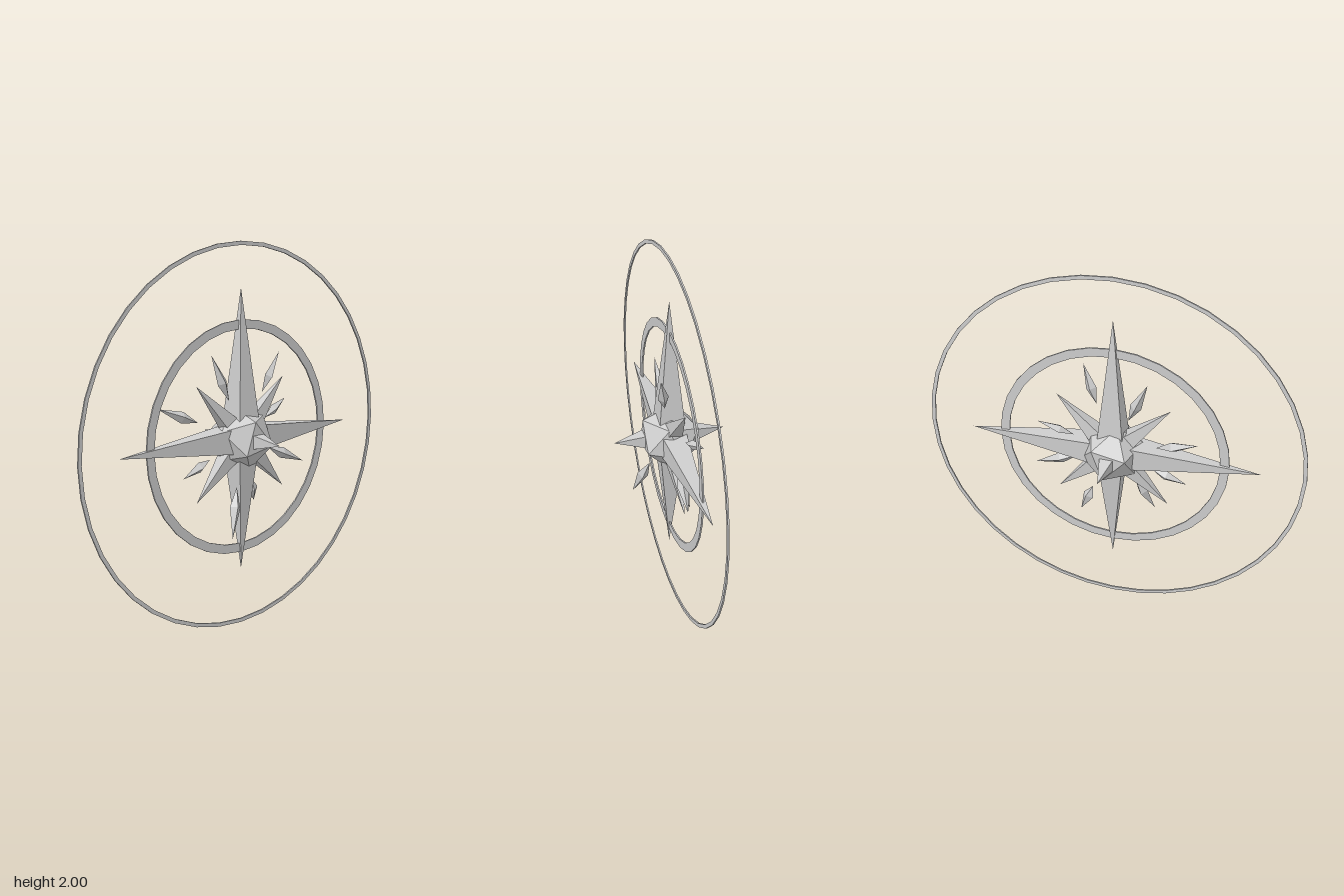
import * as THREE from 'three';

export function createModel() {
  const model = new THREE.Group();
  model.name = 'starOrnament';
  const grey = new THREE.MeshStandardMaterial({ color: 0xcccccc });
  grey.name = 'lightGrey';

  const Y = new THREE.Vector3(0, 1, 0);
  const Z = new THREE.Vector3(0, 0, 1);
  const star = new THREE.Group();
  star.name = 'star';
  star.position.y = 1;
  model.add(star);

  function add(name, geometry) {
    const flat = geometry.index ? geometry.toNonIndexed() : geometry;
    flat.computeVertexNormals();
    const mesh = new THREE.Mesh(flat, grey);
    mesh.name = name;
    star.add(mesh);
    return mesh;
  }

  // Thin flat rings
  function ring(name, outer, inner, sides, depth) {
    const loop = (r) => Array.from({ length: sides }, (_, i) => {
      const a = (i / sides) * Math.PI * 2;
      return new THREE.Vector2(r * Math.cos(a), r * Math.sin(a));
    });
    const shape = new THREE.Shape(loop(outer));
    shape.holes.push(new THREE.Path(loop(inner)));
    const geometry = new THREE.ExtrudeGeometry(shape, { depth, bevelEnabled: false });
    geometry.translate(0, 0, -depth / 2);
    add(name, geometry);
  }
  ring('outerRing', 1, 0.98, 40, 0.008);
  ring('innerRing', 0.61, 0.563, 32, 0.008);

  // Faceted core with one triangle facing the front
  const core = new THREE.IcosahedronGeometry(0.17, 0);
  const faceAxis = new THREE.Vector3(1, 1, 1).normalize();
  core.applyQuaternion(new THREE.Quaternion().setFromUnitVectors(faceAxis, Z));
  core.rotateZ(0.59);
  add('core', core);

  // Square spikes pointing away from the centre
  function spike(name, dir, start, tip, half) {
    const d = new THREE.Vector3(...dir).normalize();
    const geometry = new THREE.ConeGeometry(half * Math.SQRT2, tip - start, 4);
    geometry.rotateY(Math.PI / 4);
    geometry.translate(0, (tip + start) / 2, 0);
    add(name, geometry).quaternion.setFromUnitVectors(Y, d);
  }
  spike('topSpike', [0, 1, 0], 0.1, 0.77, 0.066);
  spike('bottomSpike', [0, -1, 0], 0.1, 0.7, 0.06);
  for (const s of [1, -1]) {
    spike('sideSpike', [s, 0, 0], 0.1, 0.77, 0.064);
    spike('depthSpike', [0, 0, s], 0.12, 0.29, 0.038);
    for (const t of [1, -1]) spike('diagonalSpike', [s, t, 0], 0.1, 0.42, 0.042);
  }

  // Floating crystal shards: inner end, outer tip, half width
  const shards = [
    [[-0.08, 0.2, 0], [-0.18, 0.44, -0.02], 0.03],
    [[0.1, 0.235, 0.05], [0.18, 0.44, 0.09], 0.028],
    [[-0.24, 0.1, -0.055], [-0.46, 0.19, -0.1], 0.03],
    [[0.2, 0.08, -0.03], [0.38, 0.16, -0.07], 0.026],
    [[-0.1, -0.23, 0.08], [-0.195, -0.47, 0.155], 0.03],
    [[0.1, -0.24, -0.03], [0.155, -0.37, -0.07], 0.03],
    [[-0.21, -0.085, 0], [-0.39, -0.155, 0.01], 0.028],
    [[0.19, -0.075, 0], [0.43, -0.18, 0.02], 0.03],
  ];
  for (const [a, b, w] of shards) {
    const from = new THREE.Vector3(...a);
    const dir = new THREE.Vector3(...b).sub(from);
    const len = dir.length();
    const profile = [[0, 0], [w, 0.4 * len], [0, len]].map((p) => new THREE.Vector2(...p));
    const mesh = add('shard', new THREE.LatheGeometry(profile, 4));
    mesh.position.copy(from);
    mesh.quaternion.setFromUnitVectors(Y, dir.normalize());
  }
  return model;
}
